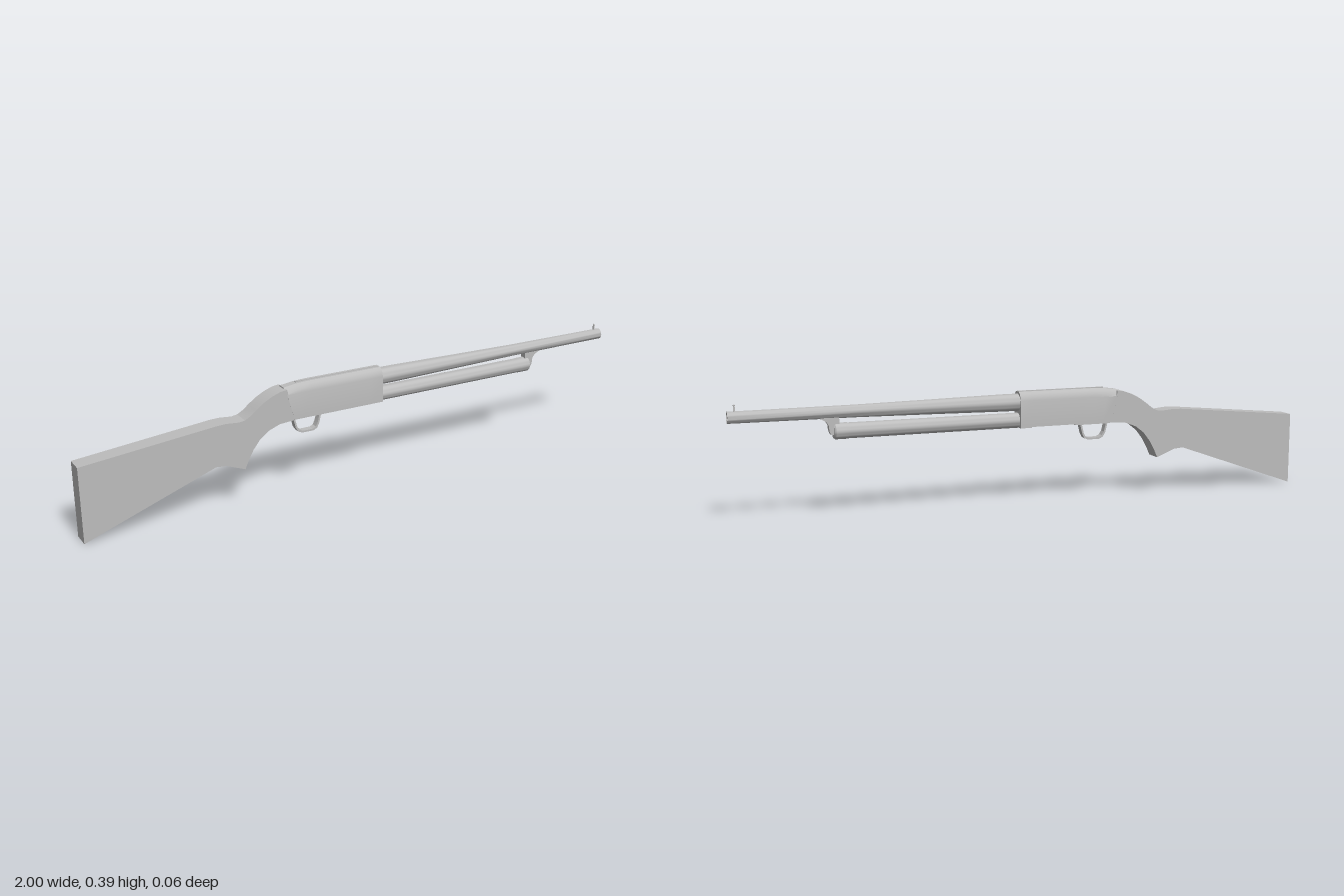
import * as THREE from 'three';
import { toCreasedNormals } from 'three/addons/utils/BufferGeometryUtils.js';

export function createModel() {
  const model = new THREE.Group();
  const grey = new THREE.MeshStandardMaterial({ color: 0xbcbcbc });
  grey.name = 'plain grey';

  function add(name, geometry) {
    const mesh = new THREE.Mesh(geometry, grey);
    mesh.name = name;
    model.add(mesh);
    return mesh;
  }
  const toShape = pts => new THREE.Shape(pts.map(p => new THREE.Vector2(...p)));

  // Side outline extruded evenly about z = 0
  function slab(name, shape, width, crease = 0.3) {
    const g = new THREE.ExtrudeGeometry(shape, { depth: width, bevelEnabled: false, curveSegments: 8 });
    g.translate(0, 0, -width / 2);
    return add(name, toCreasedNormals(g, crease));
  }
  // Profile of [radius, x] turned about a line along x
  function turned(name, profile, y, segments = 24) {
    const g = new THREE.LatheGeometry(profile.map(p => new THREE.Vector2(...p)), segments);
    g.rotateZ(-Math.PI / 2);
    g.translate(0, y, 0);
    return add(name, toCreasedNormals(g, 0.6));
  }

  // Stock with curved grip
  slab('stock', toShape([
    [-1, 0], [-0.56, 0.157], [-0.525, 0.154], [-0.46, 0.128], [-0.448, 0.155], [-0.43, 0.188],
    [-0.405, 0.22], [-0.375, 0.243], [-0.335, 0.258], [-0.28, 0.262], [-0.305, 0.37],
    [-0.33, 0.367], [-0.36, 0.356], [-0.39, 0.34], [-0.415, 0.322], [-0.435, 0.306],
    [-0.455, 0.295], [-0.475, 0.292], [-0.52, 0.296], [-0.55, 0.295], [-1, 0.252]
  ]), 0.061);

  // Receiver: rounded-top section run along x, with a sloping rear seam
  const half = [[0.031, 0.263], [0.031, 0.352], [0.028, 0.364], [0.022, 0.374], [0.013, 0.381]];
  const section = toShape([...half, ...half.slice().reverse().map(([z, y]) => [-z, y])]);
  const body = new THREE.ExtrudeGeometry(section, { depth: 0.36, steps: 8, bevelEnabled: false });
  body.rotateY(Math.PI / 2);
  body.translate(-0.31, 0, 0);
  const pos = body.attributes.position;
  for (let i = 0; i < pos.count; i++) {
    const x = pos.getX(i), y = pos.getY(i);
    const back = Math.max(0, (-0.22 - x) / 0.09);
    pos.setX(i, x + Math.max(0, 0.37 - y) * 0.28 * back);
    if (y > 0.36) pos.setY(i, y - 0.008 * back * back);
  }
  body.computeVertexNormals();
  add('receiver', toCreasedNormals(body, 0.5));

  // Narrow rib along the receiver top
  add('receiverRib', new THREE.BoxGeometry(0.31, 0.006, 0.007).translate(-0.107, 0.38, 0));

  // Tapered hollow barrel with a recessed bore
  turned('barrel', [
    [0, 0.03], [0.029, 0.03], [0.029, 0.1], [0.0245, 0.35], [0.0205, 0.6], [0.0188, 1],
    [0.0155, 1], [0.0155, 0.85], [0, 0.85]
  ], 0.345);

  // Magazine tube with a stepped end cap
  turned('magazineTube', [
    [0, 0.03], [0.0255, 0.03], [0.0255, 0.625], [0.0265, 0.63], [0.0265, 0.668], [0.022, 0.673], [0, 0.673]
  ], 0.284);

  // Bracket joining the tube to the barrel
  slab('barrelBracket', toShape([
    [0.665, 0.272], [0.682, 0.274], [0.687, 0.286], [0.689, 0.304], [0.697, 0.317],
    [0.715, 0.326], [0.715, 0.335], [0.655, 0.335], [0.655, 0.272]
  ]), 0.023);

  // Trigger plate and open guard loop
  add('triggerPlate', new THREE.BoxGeometry(0.13, 0.008, 0.03).translate(-0.22, 0.261, 0));
  const outer = [[-0.278, 0.265], [-0.268, 0.225], [-0.259, 0.211], [-0.245, 0.204],
    [-0.203, 0.204], [-0.19, 0.21], [-0.182, 0.225], [-0.172, 0.265]];
  const inner = outer.map(([x, y]) => [-0.225 + (x + 0.225) * 0.88, 0.265 + (y - 0.265) * 0.9]);
  slab('triggerGuard', toShape([...outer, ...inner.reverse()]), 0.023);

  // Loading lip under the receiver front
  add('loadingLip', new THREE.BoxGeometry(0.04, 0.006, 0.036).translate(0.025, 0.261, 0));

  // Front sight: thin post with a small bead
  add('frontSight', new THREE.BoxGeometry(0.005, 0.02, 0.005).translate(0.977, 0.372, 0));
  add('sightBead', new THREE.SphereGeometry(0.0035, 10, 8).translate(0.977, 0.382, 0));

  return model;
}
